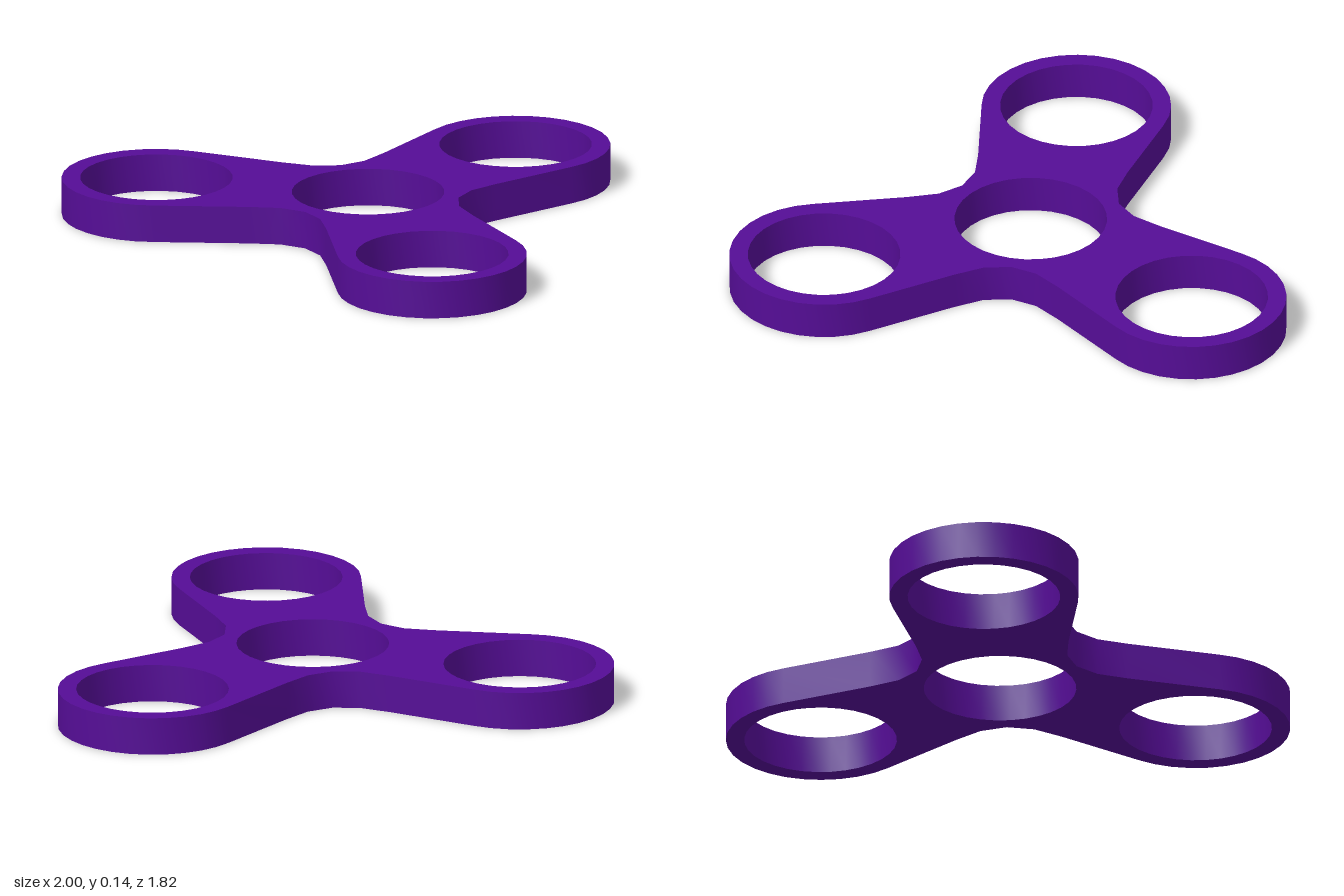
import * as THREE from 'three';
import { toCreasedNormals } from 'three/addons/utils/BufferGeometryUtils.js';

const HEIGHT = 0.135;
const ARM = 0.767;       // hub centre to ring centre
const OUTER = 0.335;     // ring outer radius
const HOLE = 0.27;       // radius of every hole
const HUB_Z = -0.192;
const STEP = Math.PI / 16;

const polar = (r, a) => new THREE.Vector2(r * Math.cos(a), r * Math.sin(a));

function circle(centre) {
  return Array.from({ length: 32 }, (_, i) => polar(HOLE, i * STEP).add(centre));
}

export function createModel() {
  const group = new THREE.Group();
  group.name = 'threeArmSpinner';

  // Curved waist between two arms: [sideways, outward] from the hub
  const waist = [[-0.187, 0.42], [-0.095, 0.352], [0, 0.327], [0.095, 0.352], [0.187, 0.42]];

  const outline = [];
  const holes = [circle(new THREE.Vector2())];
  for (let k = 0; k < 3; k++) {
    const a = Math.PI / 2 + k * Math.PI * 2 / 3;
    const centre = polar(ARM, a);
    // Rounded arm end
    for (let i = -9; i <= 9; i++) outline.push(polar(OUTER, a + i * STEP).add(centre));
    // Waist leading to the next arm
    const b = a + Math.PI / 3;
    for (const [t, v] of waist) outline.push(polar(v, b).add(polar(t, b + Math.PI / 2)));
    holes.push(circle(centre));
  }

  const shape = new THREE.Shape(outline);
  shape.holes = holes.map((points) => new THREE.Path(points));

  // Flat plate with smooth walls and sharp rims
  let geometry = new THREE.ExtrudeGeometry(shape, { depth: HEIGHT, bevelEnabled: false });
  geometry.rotateX(Math.PI / 2);
  geometry.translate(0, HEIGHT, HUB_Z);
  geometry = toCreasedNormals(geometry, 0.7);

  const body = new THREE.Mesh(geometry, new THREE.MeshStandardMaterial({ color: 0x550d96 }));
  body.name = 'spinnerBody';
  group.add(body);
  return group;
}
